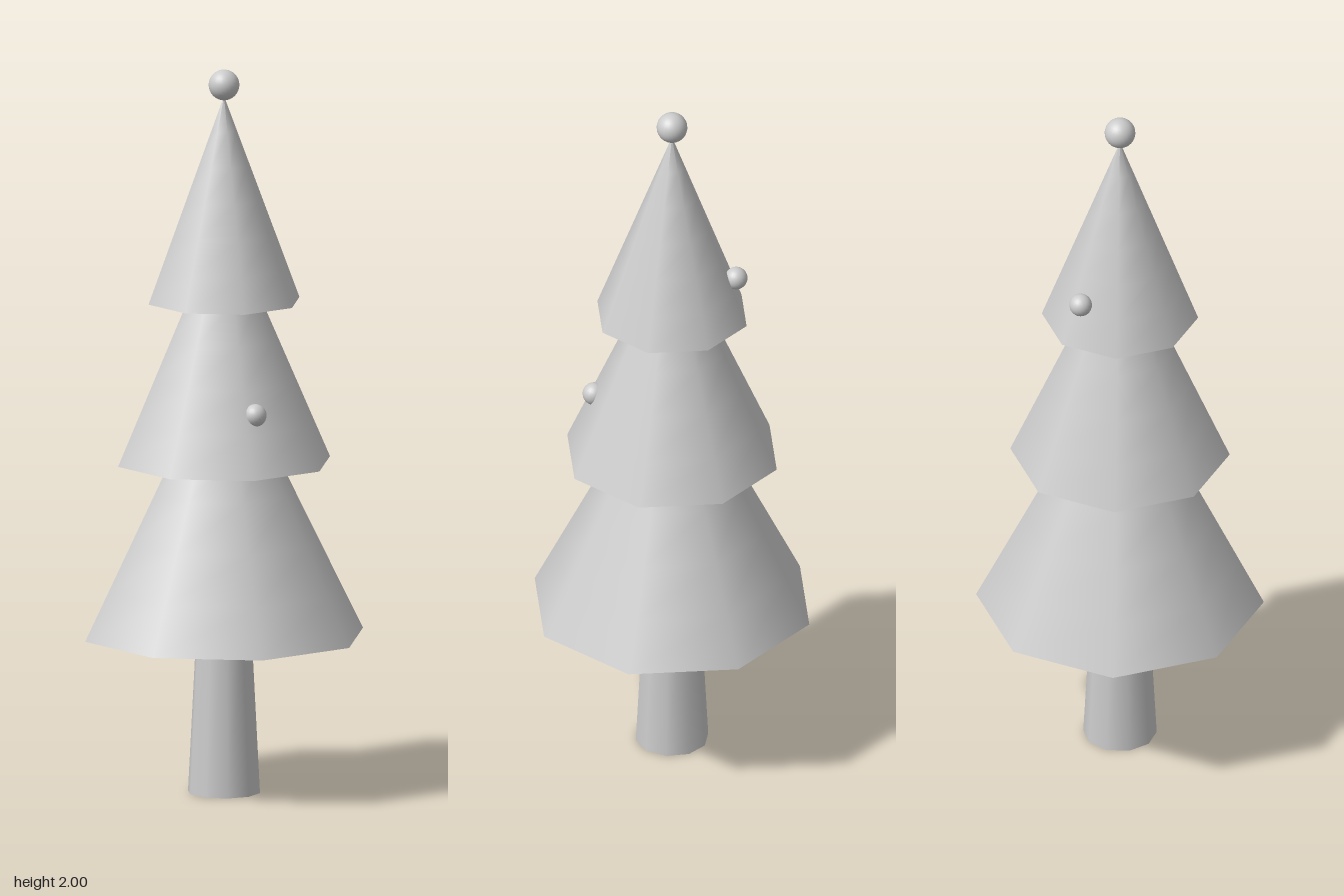
import * as THREE from 'three';

export function createModel() {
  const tree = new THREE.Group();
  tree.name = 'tree';
  const plainGrey = new THREE.MeshStandardMaterial({ color: 0xcccccc });
  plainGrey.name = 'plainGrey';

  const add = (name, geometry, x, y, z) => {
    const mesh = new THREE.Mesh(geometry, plainGrey);
    mesh.name = name;
    mesh.position.set(x, y, z);
    tree.add(mesh);
  };

  // Tapered trunk, ending just inside the lowest tier
  add('trunk', new THREE.CylinderGeometry(0.077, 0.1, 0.44, 10), 0, 0.22, 0);

  // Three overlapping eight-sided foliage tiers: [name, base y, radius, height]
  const tiers = [
    ['lowerFoliage', 0.435, 0.392, 0.795],
    ['middleFoliage', 0.915, 0.299, 0.685],
    ['upperFoliage', 1.36, 0.213, 0.567],
  ];
  for (const [name, y, radius, height] of tiers) {
    add(name, new THREE.ConeGeometry(radius, height, 8, 6), 0, y + height / 2, 0);
  }

  // Ball on the tip
  add('topBall', new THREE.SphereGeometry(0.042, 24, 16), 0, 1.958, 0);

  // Small baubles half sunk into the foliage
  const bauble = new THREE.SphereGeometry(0.031, 20, 14);
  add('frontBauble', bauble, 0.172, 1.08, 0.13);
  add('backBauble', bauble, -0.145, 1.488, -0.1);

  return tree;
}
